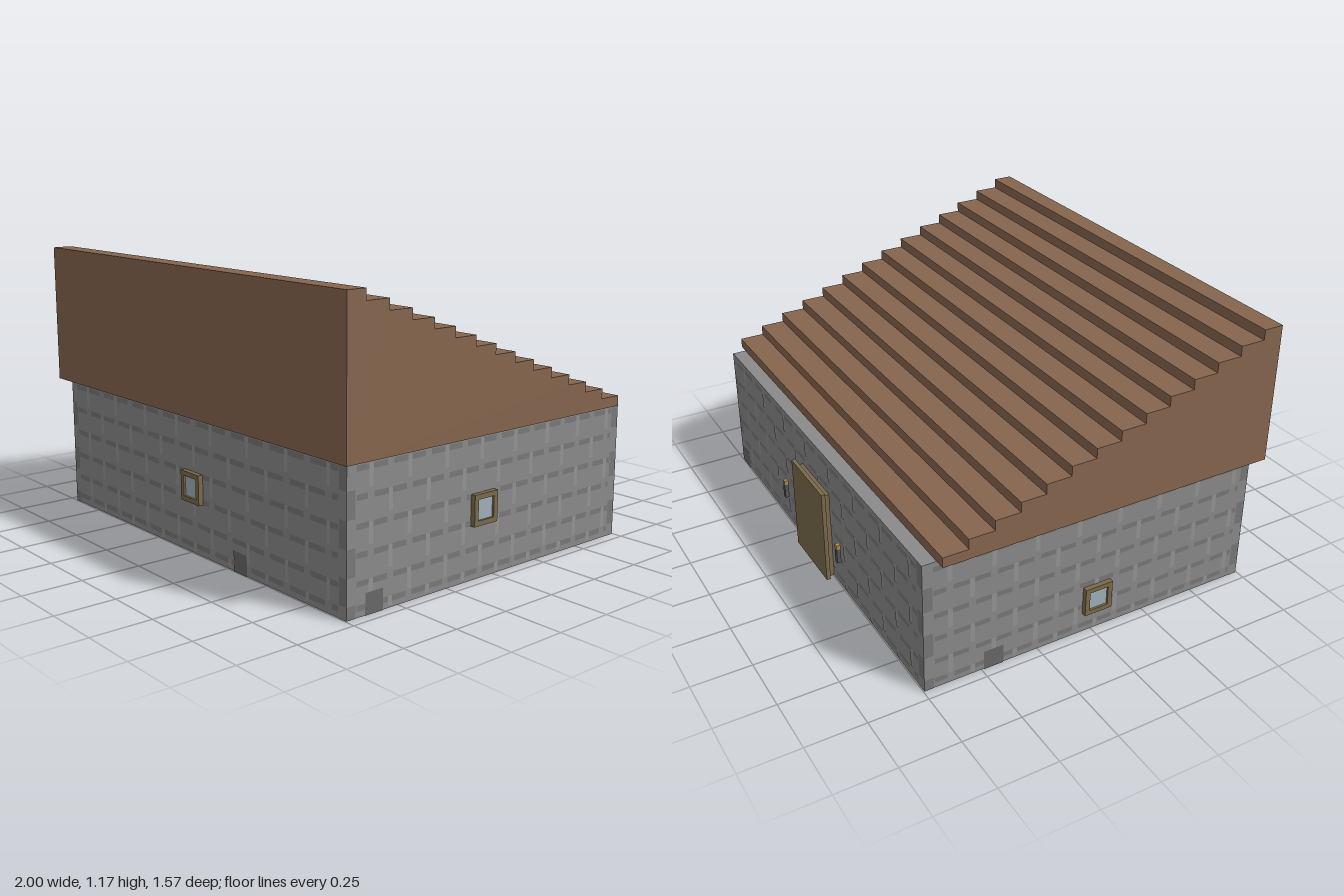
import * as THREE from 'three';
import { mergeGeometries } from 'three/addons/utils/BufferGeometryUtils.js';

const mat = (color) => new THREE.MeshStandardMaterial({ color });
const stone = mat(0x8a8a8a), darkStone = mat(0x787878), lightStone = mat(0x949494), patchStone = mat(0x686868);
const roofMat = mat(0x85654e), wood = mat(0x7a6a4c), glass = mat(0x9fb0b8), iron = mat(0x55555a), flame = mat(0xb08a50);

const HX = 0.955, HZ = 0.745, WALL_H = 0.575;

// Box given by its limits
function box(name, x0, x1, y0, y1, z0, z1, material) {
  const mesh = new THREE.Mesh(new THREE.BoxGeometry(x1 - x0, y1 - y0, z1 - z0), material);
  mesh.position.set((x0 + x1) / 2, (y0 + y1) / 2, (z0 + z1) / 2);
  mesh.name = name;
  return mesh;
}

// Flat rectangles [x0, x1, y0, y1] laid just over a wall face
function inlay(name, rects, lift, material) {
  const planes = rects.map(([x0, x1, y0, y1]) =>
    new THREE.PlaneGeometry(x1 - x0, y1 - y0).translate((x0 + x1) / 2, (y0 + y1) / 2, lift));
  const mesh = new THREE.Mesh(mergeGeometries(planes), material);
  mesh.name = name;
  return mesh;
}

// Masonry courses on one wall, in the wall's own frame (z points outward)
function masonry(half) {
  const group = new THREE.Group();
  group.name = 'masonry';
  const joints = [], bars = [], darkQuoins = [], lightQuoins = [];
  const inner = half - 0.045, cell = (2 * half) / 8, course = 0.105;
  for (let r = 0; r < 6; r++) {
    const top = Math.max(0.555 - r * course, 0.045);
    const low = Math.max(top - 0.085, 0.01);
    for (let i = 0; i < 9; i++) {
      const x = -half + (i + (r % 2 ? 0.1 : 0.6)) * cell;
      const a = Math.max(x - cell * 0.42, -inner), b = Math.min(x + cell * 0.42, inner);
      if (b > a) joints.push([a, b, top - 0.022, top]);
      if (Math.abs(x) < inner - 0.01) bars.push([x - 0.01, x + 0.01, low, top]);
    }
    // Corner stones alternate from course to course
    const y0 = Math.max(0, WALL_H - (r + 1) * course), y1 = WALL_H - r * course;
    const even = r % 2 === 0;
    (even ? lightQuoins : darkQuoins).push([-half, -half + 0.04, y0, y1]);
    (even ? darkQuoins : lightQuoins).push([half - 0.04, half, y0, y1]);
  }
  group.add(
    inlay('joints', joints, 0.001, darkStone),
    inlay('jointBars', bars, 0.002, lightStone),
    inlay('darkCornerStones', darkQuoins, 0.001, darkStone),
    inlay('lightCornerStones', lightQuoins, 0.001, stone),
  );
  return group;
}

// Square window: raised frame with a slightly recessed pane
function windowUnit(x, y) {
  const group = new THREE.Group();
  group.name = 'window';
  const s = 0.0625, hole = 0.042;
  const shape = new THREE.Shape([[-s, -s], [s, -s], [s, s], [-s, s]].map(([a, b]) => new THREE.Vector2(a, b)));
  shape.holes.push(new THREE.Path([[-hole, -hole], [-hole, hole], [hole, hole], [hole, -hole]]
    .map(([a, b]) => new THREE.Vector2(a, b))));
  const frame = new THREE.Mesh(new THREE.ExtrudeGeometry(shape, { depth: 0.021, bevelEnabled: false }), wood);
  frame.name = 'windowFrame';
  group.add(frame, box('windowPane', -hole, hole, -hole, hole, 0, 0.012, glass));
  group.position.set(x, y, 0);
  return group;
}

function wall(name, angle, half, distance, win, patchX) {
  const group = new THREE.Group();
  group.name = name;
  group.add(masonry(half));
  if (win) group.add(windowUnit(...win));
  group.add(inlay('footStone', [[patchX, patchX + 0.085, 0, 0.085]], 0.003, patchStone));
  group.position.set(Math.sin(angle) * distance, 0, Math.cos(angle) * distance);
  group.rotation.y = angle;
  return group;
}

// Stepped single-pitch roof as one extruded profile
function roof() {
  const steps = 14, rise = 0.0425, run = 0.1065, front = 0.785, back = -0.685;
  const shape = new THREE.Shape();
  shape.moveTo(-front, WALL_H);
  shape.lineTo(-back, WALL_H);
  for (let i = 0; i < steps; i++) {
    const y = WALL_H + (i + 1) * rise;
    shape.lineTo(-(back + i * run), y);
    shape.lineTo(-(i === steps - 1 ? front : back + (i + 1) * run), y);
  }
  shape.closePath();
  const geo = new THREE.ExtrudeGeometry(shape, { depth: 2, bevelEnabled: false });
  geo.translate(0, 0, -1).rotateY(Math.PI / 2);
  const mesh = new THREE.Mesh(geo, roofMat);
  mesh.name = 'steppedRoof';
  return mesh;
}

export function createModel() {
  const model = new THREE.Group();
  model.name = 'stoneHouse';
  model.add(box('wallBlock', -HX, HX, 0, WALL_H, -HZ, HZ, stone), roof());

  // Walls with masonry, windows and foot stones
  model.add(
    wall('frontWall', 0, HX, HZ, [0.02, 0.28], 0.29),
    wall('leftWall', Math.PI / 2, HZ, HX, [-0.065, 0.28], -0.66),
    wall('backWall', Math.PI, HX, HZ, null, -0.94),
    wall('rightWall', -Math.PI / 2, HZ, HX, [0.02, 0.152], -0.49),
  );

  // Back door on its narrower surround
  const door = new THREE.Group();
  door.name = 'door';
  door.add(
    box('doorBacking', -0.13, 0.145, 0, 0.405, -0.77, -HZ, wood),
    box('doorPanel', -0.15, 0.165, 0, 0.425, -0.787, -0.77, wood),
  );
  model.add(door);

  // Torches either side of the door
  for (const x of [-0.27, 0.285]) {
    const torch = new THREE.Group();
    torch.name = 'torch';
    torch.add(
      box('torchHandle', x - 0.01, x + 0.01, 0.17, 0.235, -0.787, -0.77, iron),
      box('torchFlame', x - 0.01, x + 0.01, 0.235, 0.255, -0.787, -0.77, flame),
    );
    model.add(torch);
  }
  return model;
}
